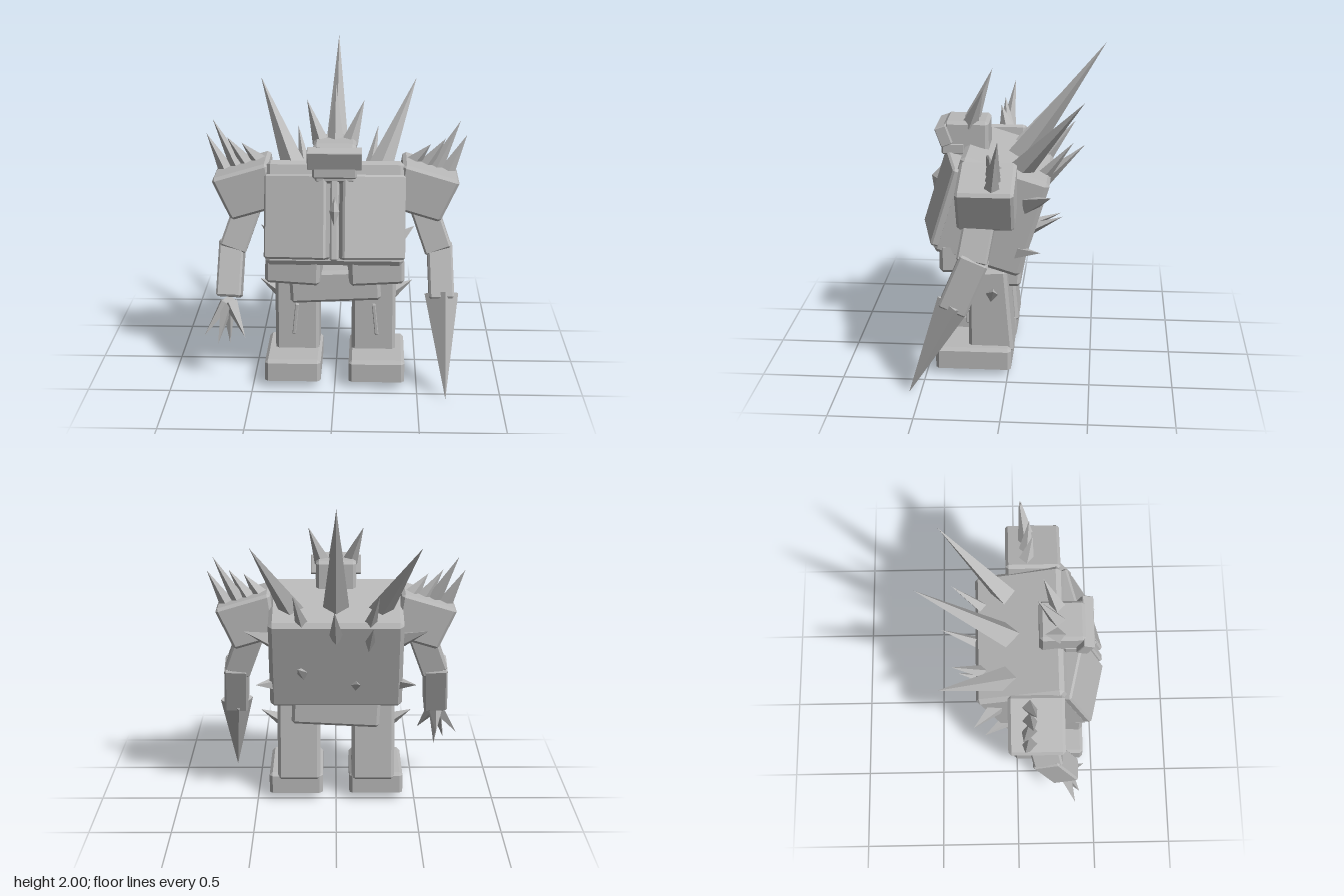
import * as THREE from 'three';
import { ConvexGeometry } from 'three/addons/geometries/ConvexGeometry.js';

const V = (x, y, z) => new THREE.Vector3(x, y, z);
const UP = V(0, 1, 0);

export function createModel() {
  const root = new THREE.Group();
  const stone = new THREE.MeshStandardMaterial({ color: 0xb8b8b8 });
  stone.name = 'stoneGrey';
  stone.flatShading = true;

  const add = (name, geometry, pos, rot = [0, 0, 0]) => {
    const mesh = new THREE.Mesh(geometry, stone);
    mesh.name = name;
    mesh.position.set(...pos);
    mesh.rotation.set(...rot);
    root.add(mesh);
    return mesh;
  };

  // Bevelled box; the x and z sizes can be scaled at the bottom
  const block = (w, h, d, b = 0.02, bottomX = 1, bottomZ = 1) => {
    const points = [];
    for (const sx of [-1, 1]) for (const sy of [-1, 1]) for (const sz of [-1, 1]) {
      const x = (w / 2) * (sy < 0 ? bottomX : 1), z = (d / 2) * (sy < 0 ? bottomZ : 1), y = h / 2;
      points.push(V(sx * x, sy * (y - b), sz * (z - b)), V(sx * (x - b), sy * y, sz * (z - b)), V(sx * (x - b), sy * (y - b), sz * z));
    }
    return new ConvexGeometry(points);
  };

  // Four-sided spike from a base point to a tip
  const spike = (name, base, tip, r) => {
    const a = V(...base), b = V(...tip), dir = b.clone().sub(a);
    const mesh = add(name, new THREE.ConeGeometry(r, dir.length(), 4), a.clone().add(b).multiplyScalar(0.5).toArray());
    mesh.quaternion.setFromUnitVectors(UP, dir.normalize());
  };

  // Bevelled arm segment between two points
  const limb = (name, from, to, w, d) => {
    const a = V(...from), b = V(...to), dir = a.clone().sub(b);
    const mesh = add(name, block(w, dir.length(), d, 0.012), a.clone().add(b).multiplyScalar(0.5).toArray());
    mesh.quaternion.setFromUnitVectors(UP, dir.normalize());
  };

  // Torso, leaning back
  const lean = -0.3;
  add('torso', block(0.82, 0.62, 0.545, 0.025), [0, 1.02, 0.1], [lean, 0, 0]);
  add('pelvis', block(0.55, 0.2, 0.4, 0.02), [0, 0.62, 0.13], [0, 0, 0.05]);
  add('chestStrip', block(0.05, 0.5, 0.08, 0.01), [0, 1.09, 0.43], [lean, 0, 0]);
  const gem = add('chestGem', new THREE.OctahedronGeometry(1), [0, 1.14, 0.46], [lean, 0, 0]);
  gem.scale.set(0.03, 0.085, 0.04);

  // Head with visor, chin and crown of spikes
  add('head', block(0.25, 0.24, 0.27, 0.02), [0, 1.41, 0.27]);
  add('visor', block(0.32, 0.12, 0.07, 0.004), [0, 1.445, 0.405], [0.35, 0, 0]);
  add('chin', block(0.26, 0.07, 0.14, 0.01), [0, 1.36, 0.35]);
  spike('crownSpike', [0, 1.5, 0.25], [0, 1.83, 0.12], 0.05);

  // Spine spikes
  spike('spineSpike', [0, 1.25, -0.03], [0, 2, -0.56], 0.085);
  spike('backSpike', [0, 1.14, -0.2], [0.01, 1.37, -0.445], 0.045);
  spike('backSpike', [-0.2, 1.08, -0.17], [-0.22, 1.24, -0.35], 0.04);
  spike('backSpike', [0.2, 0.88, -0.11], [0.23, 0.98, -0.32], 0.04);
  spike('backSpike', [-0.12, 0.8, -0.09], [-0.13, 0.88, -0.3], 0.035);

  // Sole frame with a recess underneath
  const soleFrame = () => {
    const w = 0.17, d = 0.23, c = 0.02;
    const shape = new THREE.Shape([[-w + c, -d], [w - c, -d], [w, -d + c], [w, d - c], [w - c, d], [-w + c, d], [-w, d - c], [-w, -d + c]]
      .map(p => new THREE.Vector2(...p)));
    shape.holes.push(new THREE.Path([[-0.12, -0.18], [-0.12, 0.18], [0.12, 0.18], [0.12, -0.18]].map(p => new THREE.Vector2(...p))));
    return new THREE.ExtrudeGeometry(shape, { depth: 0.08, bevelEnabled: false }).rotateX(Math.PI / 2);
  };

  for (const s of [-1, 1]) {
    spike('crownSideSpike', [s * 0.085, 1.5, 0.25], [s * 0.17, 1.74, 0.16], 0.05);

    // Chest and belly plates
    add('chestPlate', block(0.38, 0.5, 0.12, 0.012), [s * 0.222, 1.08, 0.375], [lean, s * 0.24, 0]);
    add('bellyPlate', block(0.33, 0.18, 0.2, 0.02), [s * 0.245, 0.755, 0.32], [0, s * 0.08, s * 0.03]);

    // Back and flank spikes
    spike('longBackSpike', [s * 0.25, 1.23, -0.03], [s * 0.495, 1.75, -0.445], 0.08);
    spike('upperBackSpike', [s * 0.2, 1.2, -0.18], [s * 0.255, 1.45, -0.38], 0.045);
    spike('flankSpike', [s * 0.38, 1.1, -0.12], [s * 0.55, 1.2, -0.26], 0.06);
    spike('lowFlankSpike', [s * 0.38, 0.8, -0.06], [s * 0.49, 0.84, -0.2], 0.045);

    // Shoulder with a row of spikes
    add('shoulder', block(0.35, 0.28, 0.335, 0.018, 0.8, 1), [s * 0.535, 1.19, 0.11], [0, 0, -s * 0.29]);
    const row = [[0.6, 0.75, 1.585, 0.03], [0.67, 0.79, 1.5, 0.04], [0.54, 0.66, 1.49, 0.09], [0.47, 0.57, 1.46, 0.11]];
    for (const [bx, tx, ty, tz] of row) {
      spike('shoulderSpike', [s * bx, 1.36 - (bx - 0.4) * 0.32, 0.07], [s * tx, ty, tz], 0.048);
    }

    // Arms
    limb('upperArm', [s * 0.525, 1.1, 0.14], [s * 0.625, 0.82, 0.19], 0.165, 0.18);
    limb('forearm', [s * 0.63, 0.86, 0.17], [s * 0.645, 0.54, 0.305], 0.15, 0.175);

    // Leg, shin strip and side spike
    add('leg', block(0.27, 0.54, 0.23, 0.02, 1, 1.2), [s * 0.235, 0.4, 0.115], [0.04, 0, 0]);
    add('shinStrip', block(0.022, 0.2, 0.05, 0.004), [s * 0.245, 0.38, 0.24], [0, 0, s * 0.1]);
    spike('legSpike', [s * 0.35, 0.51, 0.1], [s * 0.475, 0.58, 0.08], 0.045);

    // Foot with ribbed sole
    add('foot', block(0.34, 0.08, 0.46, 0.02), [s * 0.255, 0.14, 0.21]);
    add('soleFrame', soleFrame(), [s * 0.255, 0.125, 0.21]);
    for (const z of [0.14, 0.28]) add('soleRib', new THREE.BoxGeometry(0.25, 0.04, 0.05), [s * 0.255, 0.09, z]);
  }

  // Left forearm blade
  spike('armBlade', [0.645, 0.575, 0.295], [0.67, 0, 0.57], 0.105);

  // Right hand claws
  const palm = [-0.65, 0.53, 0.3];
  for (const tip of [[-0.795, 0.31, 0.37], [-0.71, 0.27, 0.4], [-0.645, 0.245, 0.33], [-0.54, 0.325, 0.43], [-0.65, 0.36, 0.22]]) {
    spike('claw', palm.map((p, i) => p + (tip[i] - p) * 0.12), tip, 0.045);
  }

  return root;
}
